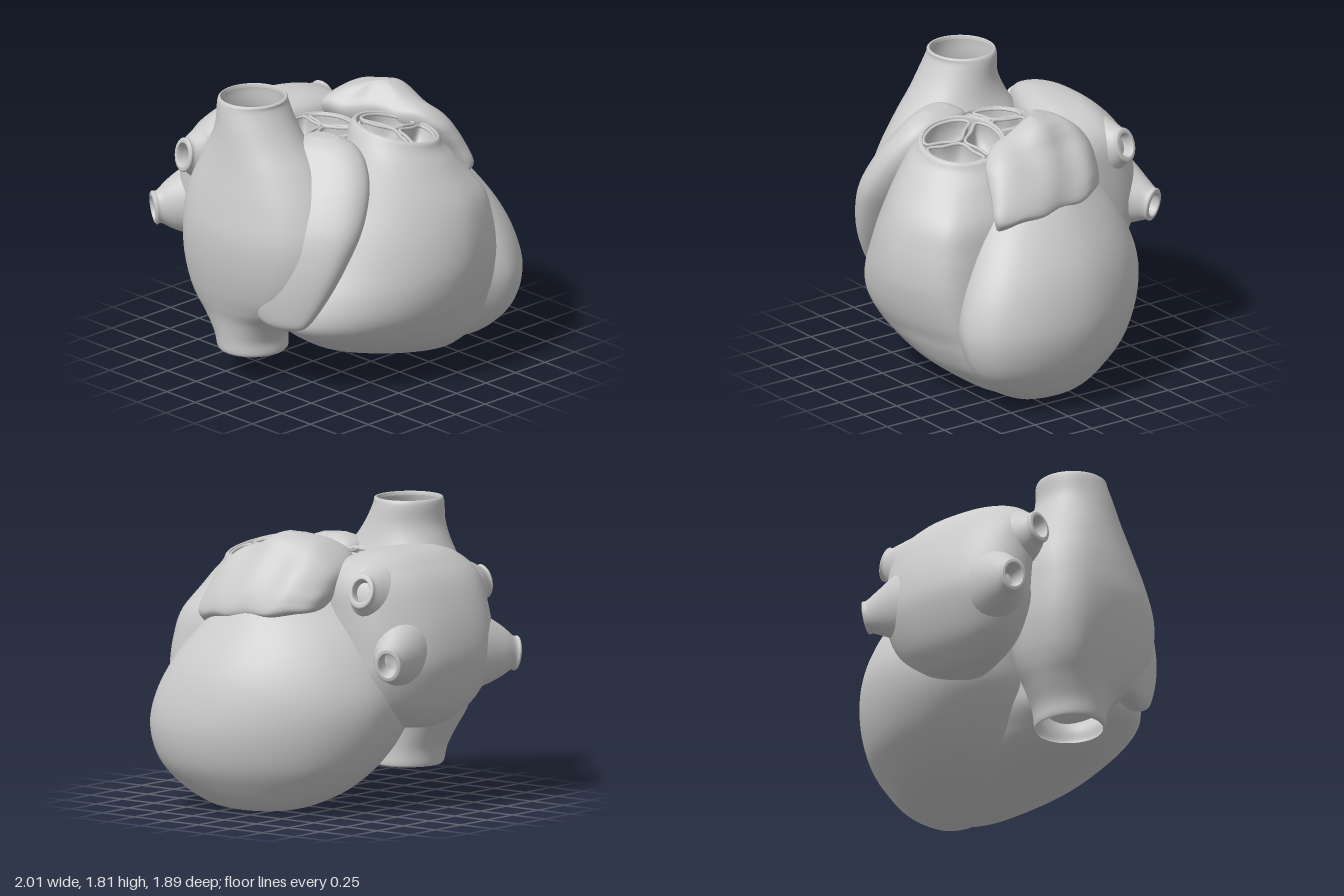
import * as THREE from 'three';

const tissue = new THREE.MeshStandardMaterial({ color: 0xcbcbcb, side: THREE.DoubleSide });
tissue.name = 'grey tissue';
const AROUND = 64, STEPS = 6;

// Smooth skin over rings of points, with optional centre caps
function skin(rings, capStart, capEnd) {
  const centre = r => r.reduce((s, p) => s.add(p), new THREE.Vector3()).divideScalar(r.length);
  const rows = [...rings], n = rings[0].length;
  if (capStart) rows.unshift(Array(n).fill(centre(rings[0])));
  if (capEnd) rows.push(Array(n).fill(centre(rings[rings.length - 1])));
  const pos = [], index = [];
  rows.forEach(r => r.forEach(p => pos.push(p.x, p.y, p.z)));
  for (let i = 0; i < rows.length - 1; i++) for (let j = 0; j < n; j++) {
    const a = i * n + j, b = i * n + (j + 1) % n;
    index.push(a, b, b + n, a, b + n, a + n);
  }
  const g = new THREE.BufferGeometry();
  g.setAttribute('position', new THREE.Float32BufferAttribute(pos, 3));
  g.setIndex(index);
  g.computeVertexNormals();
  return g;
}

// Closed outline through a few [x, z] points
function outline(points, count = AROUND) {
  const c = new THREE.CatmullRomCurve3(points.map(([x, z]) => new THREE.Vector3(x, 0, z)), true);
  return Array.from({ length: count }, (_, i) => c.getPoint(i / count));
}

// Interpolate rows of numbers smoothly
function smoothRows(rows) {
  const out = [], at = i => rows[Math.max(0, Math.min(rows.length - 1, i))];
  for (let i = 0; i < rows.length - 1; i++) for (let s = 0; s < STEPS; s++) {
    const t = s / STEPS;
    out.push(rows[i].map((p1, k) => {
      const p0 = at(i - 1)[k], p2 = at(i + 1)[k], p3 = at(i + 2)[k];
      return p1 + 0.5 * t * (p2 - p0 + t * (2 * p0 - 5 * p1 + 4 * p2 - p3 + t * (3 * (p1 - p2) + p3 - p0)));
    }));
  }
  out.push(rows[rows.length - 1]);
  return out;
}

const circle = [[0.5, 1], [0.85, 0.85], [1, 0.5], [0.85, 0.15], [0.5, 0], [0.15, 0.15], [0, 0.5], [0.15, 0.85]];
const TILT_X = -0.19, TILT_Z = -0.12;

// Sections are [y, xMin, xMax, zMin, zMax, roundness]; round sections can lean by tilt
function loft(profile, sections, { capped = true, tilt = 0 } = {}) {
  const shape = outline(profile);
  const rings = smoothRows(sections).map(([y, x0, x1, z0, z1, k = 0]) => shape.map(p => {
    const a = Math.atan2(p.z - 0.5, p.x - 0.5);
    const u = THREE.MathUtils.lerp(p.x, 0.5 + 0.5 * Math.cos(a), k) - 0.5;
    const w = THREE.MathUtils.lerp(p.z, 0.5 + 0.5 * Math.sin(a), k) - 0.5;
    const dx = u * (x1 - x0), dz = w * (z1 - z0);
    return new THREE.Vector3((x0 + x1) / 2 + dx, y + tilt * k * (TILT_X * dx + TILT_Z * dz), (z0 + z1) / 2 + dz);
  }));
  return skin(rings, capped, capped);
}

function part(name, geometry, parent) {
  const m = new THREE.Mesh(geometry, tissue);
  m.name = name;
  parent.add(m);
}

// Tapering vein stub with a rolled lip and hollow end
function vein(base, tip, wide) {
  const a = new THREE.Vector3(...base), b = new THREE.Vector3(...tip);
  const dir = b.clone().sub(a).normalize();
  const side = new THREE.Vector3(0, 1, 0).cross(dir).normalize();
  const up = dir.clone().cross(side);
  const rows = smoothRows([[0, wide], [0.4, wide * 0.8], [0.75, wide * 0.52], [0.92, 0.108], [0.98, 0.108],
    [1, 0.09], [0.97, 0.07], [0.7, 0.06]]);
  return skin(rows.map(([t, r]) => Array.from({ length: 32 }, (_, i) => {
    const q = i / 32 * Math.PI * 2;
    return a.clone().lerp(b, t).addScaledVector(side, Math.cos(q) * r * 0.78).addScaledVector(up, Math.sin(q) * r);
  })), false, true);
}

// Three-cusped valve: pocket bowls with rolled rims
function valve(name, rx, rz, turn, parent) {
  const g = new THREE.Group();
  g.name = name;
  const leaf = [[0.08, 0], [0.5, 50], [0.9, 54], [0.97, 36], [0.98, 0], [0.97, -36], [0.9, -54], [0.5, -50]];
  for (let k = 0; k < 3; k++) {
    const mid = turn + 60 + k * 120;
    const pts = outline(leaf.map(([r, d]) => {
      const a = (mid + d) * Math.PI / 180;
      return [Math.cos(a) * r * rx, Math.sin(a) * r * rz];
    }), 40);
    const m = mid * Math.PI / 180, cx = Math.cos(m) * rx * 0.58, cz = Math.sin(m) * rz * 0.58;
    const bowl = smoothRows([[0, 1], [-0.06, 0.95], [-0.12, 0.75], [-0.16, 0.4], [-0.17, 0.05]]);
    part('cuspPocket', skin(bowl.map(([y, s]) => pts.map(p =>
      new THREE.Vector3(cx + (p.x - cx) * s, y, cz + (p.z - cz) * s))), false, true), g);
    part('cuspRim', new THREE.TubeGeometry(new THREE.CatmullRomCurve3(pts, true), 60, 0.01, 8, true), g);
  }
  parent.add(g);
  return g;
}

export function createModel() {
  const heart = new THREE.Group();
  heart.name = 'heart';

  // Ventricles
  part('leftVentricle', loft(
    [[0.45, 0.87], [0.63, 0.965], [0.76, 1], [0.89, 0.94], [0.97, 0.8], [1, 0.6], [0.975, 0.44], [0.88, 0.25],
      [0.72, 0.09], [0.5, 0], [0.22, 0.04], [0.03, 0.22], [0, 0.5], [0.18, 0.74]],
    [[0, 0.52, 0.6, 0.02, 0.14], [0.015, 0.36, 0.69, -0.13, 0.31], [0.055, 0.2, 0.77, -0.26, 0.43],
      [0.15, 0, 0.86, -0.41, 0.59], [0.3, -0.16, 0.955, -0.55, 0.72], [0.5, -0.3, 1, -0.65, 0.78],
      [0.7, -0.33, 0.98, -0.68, 0.75], [0.9, -0.33, 0.915, -0.63, 0.66], [1.1, -0.28, 0.79, -0.52, 0.53],
      [1.28, -0.22, 0.64, -0.34, 0.36], [1.4, -0.1, 0.48, -0.2, 0.2]]), heart);
  part('rightVentricle', loft(
    [[0.11, 0.76], [0.34, 0.93], [0.6, 1], [0.8, 0.965], [0.95, 0.895], [1, 0.8], [1, 0.5], [0.95, 0.15], [0.8, 0],
      [0.3, 0.02], [0.07, 0.25], [0, 0.54]],
    [[0.03, 0.3, 0.54, 0.18, 0.4, 0], [0.07, 0.05, 0.58, 0.05, 0.51, 0], [0.2, -0.38, 0.59, -0.1, 0.69, 0],
      [0.32, -0.61, 0.59, -0.16, 0.785, 0], [0.42, -0.73, 0.585, -0.2, 0.84, 0], [0.52, -0.74, 0.58, -0.22, 0.89, 0],
      [0.65, -0.69, 0.575, -0.25, 0.93, 0], [0.8, -0.6, 0.565, -0.25, 0.95, 0], [1, -0.49, 0.55, -0.2, 0.935, 0.1],
      [1.2, -0.37, 0.52, -0.08, 0.88, 0.3], [1.4, -0.26, 0.43, 0.07, 0.76, 0.8], [1.5, -0.21, 0.37, 0.1, 0.68, 1],
      [1.545, -0.185, 0.345, 0.12, 0.655, 1], [1.55, -0.17, 0.33, 0.135, 0.64, 1],
      [1.53, -0.16, 0.32, 0.145, 0.63, 1], [1.35, -0.16, 0.32, 0.145, 0.63, 1]], { tilt: 1 }), heart);

  // Right atrium, full at the back, continues into the round open veins
  part('rightAtriumAndVeins', loft(
    [[0.5, 1], [0.84, 0.86], [1, 0.5], [0.97, 0.18], [0.8, 0.03], [0.5, 0], [0.22, 0.03], [0.05, 0.15],
      [0, 0.5], [0.14, 0.84]],
    [[0.17, -0.84, -0.42, -0.33, 0.07, 1], [0.19, -0.86, -0.41, -0.34, 0.08, 1], [0.28, -0.87, -0.41, -0.36, 0.09, 0.9],
      [0.4, -0.89, -0.4, -0.42, 0.18, 0.5], [0.5, -0.92, -0.38, -0.47, 0.34, 0.1], [0.62, -0.955, -0.35, -0.51, 0.46, 0],
      [0.8, -0.99, -0.3, -0.54, 0.53, 0], [1, -1, -0.28, -0.54, 0.54, 0], [1.2, -0.97, -0.28, -0.52, 0.48, 0],
      [1.4, -0.93, -0.31, -0.45, 0.36, 0.3], [1.55, -0.905, -0.37, -0.38, 0.23, 0.8], [1.66, -0.89, -0.4, -0.34, 0.15, 1],
      [1.77, -0.87, -0.415, -0.335, 0.09, 1], [1.805, -0.86, -0.425, -0.33, 0.085, 1],
      [1.812, -0.845, -0.44, -0.32, 0.07, 1], [1.79, -0.84, -0.445, -0.315, 0.065, 1]], { capped: false }), heart);
  part('rightAuricle', loft(
    [[0.08, 0.5], [0.28, 0.79], [0.54, 0.98], [0.8, 0.98], [0.99, 0.8], [1, 0.4], [0.8, 0], [0.2, 0], [0, 0.22]],
    [[0.44, -0.82, -0.74, 0.26, 0.38], [0.5, -0.88, -0.7, 0.12, 0.48], [0.7, -0.91, -0.6, 0.05, 0.59],
      [0.9, -0.9, -0.5, 0.05, 0.655], [1.1, -0.85, -0.39, 0.05, 0.68], [1.3, -0.74, -0.29, 0.05, 0.63],
      [1.45, -0.62, -0.25, 0.06, 0.54], [1.54, -0.54, -0.27, 0.09, 0.44], [1.585, -0.45, -0.34, 0.18, 0.33]]), heart);

  // Broad left atrium with four vein stubs at its corners
  part('leftAtrium', loft(
    [[0, 0.5], [0.18, 0.72], [0.45, 0.92], [0.72, 1], [0.92, 0.93], [1, 0.65], [0.97, 0.3], [0.74, 0.06],
      [0.45, 0], [0.18, 0.05], [0.02, 0.22]],
    [[0.5, -0.28, -0.05, -0.66, -0.5], [0.54, -0.42, 0.1, -0.73, -0.4], [0.66, -0.57, 0.26, -0.83, -0.3],
      [0.85, -0.66, 0.35, -0.905, -0.24], [1, -0.67, 0.37, -0.92, -0.23], [1.2, -0.67, 0.38, -0.88, -0.22],
      [1.4, -0.66, 0.37, -0.795, -0.22], [1.52, -0.56, 0.28, -0.69, -0.24], [1.58, -0.4, 0.12, -0.6, -0.32],
      [1.6, -0.2, -0.05, -0.5, -0.41]]), heart);
  [['leftUpperVein', [0.05, 1.28, -0.51], [0.42, 1.4, -0.6], 0.29],
    ['leftLowerVein', [0.05, 1.02, -0.65], [0.42, 0.96, -0.81], 0.28],
    ['rightUpperVein', [-0.3, 1.25, -0.55], [-0.77, 1.32, -0.61], 0.31],
    ['rightLowerVein', [-0.3, 0.96, -0.6], [-0.77, 0.9, -0.87], 0.33],
  ].forEach(([name, base, tip, r]) => part(name, vein(base, tip, r), heart));

  // Left auricle draped over the ventricles, with a gently lumpy surface
  const flap = loft(
    [[0, 0.12], [0.08, 0.34], [0.28, 0.54], [0.44, 0.8], [0.62, 1], [0.82, 0.98], [0.97, 0.8], [1, 0.5],
      [0.93, 0.2], [0.7, 0], [0.25, 0]],
    [[1.14, 0.5, 0.62, 0.34, 0.48], [1.19, 0.42, 0.68, 0.08, 0.5], [1.24, 0.33, 0.7, -0.24, 0.5],
      [1.32, 0.23, 0.68, -0.31, 0.48], [1.41, 0.12, 0.635, -0.33, 0.46], [1.49, 0.05, 0.58, -0.33, 0.43],
      [1.56, 0.04, 0.52, -0.29, 0.35], [1.62, 0.1, 0.475, -0.21, 0.23], [1.67, 0.17, 0.42, -0.12, 0.12],
      [1.695, 0.24, 0.34, -0.05, 0.04]]);
  const p = flap.attributes.position;
  for (let i = 0; i < p.count; i++) {
    const y = p.getY(i), z = p.getZ(i);
    p.setX(i, p.getX(i) + 0.008 * Math.sin(z * 19 + y * 8));
    p.setY(i, y + 0.008 * Math.sin(z * 23));
  }
  flap.computeVertexNormals();
  part('leftAuricle', flap, heart);

  // Aortic root and both valves
  part('aorticRoot', loft(circle,
    [[1.05, -0.4, 0.08, -0.28, 0.26], [1.3, -0.38, 0.06, -0.26, 0.24], [1.49, -0.37, 0.05, -0.25, 0.23],
      [1.52, -0.36, 0.04, -0.24, 0.22], [1.5, -0.345, 0.025, -0.225, 0.205], [1.28, -0.34, 0.02, -0.22, 0.2]]), heart);
  valve('aorticValve', 0.185, 0.215, 47, heart).position.set(-0.16, 1.51, -0.01);
  const lung = valve('pulmonaryValve', 0.242, 0.248, -8, heart);
  lung.position.set(0.08, 1.535, 0.388);
  lung.rotation.set(-TILT_Z, 0, TILT_X);
  return heart;
}
